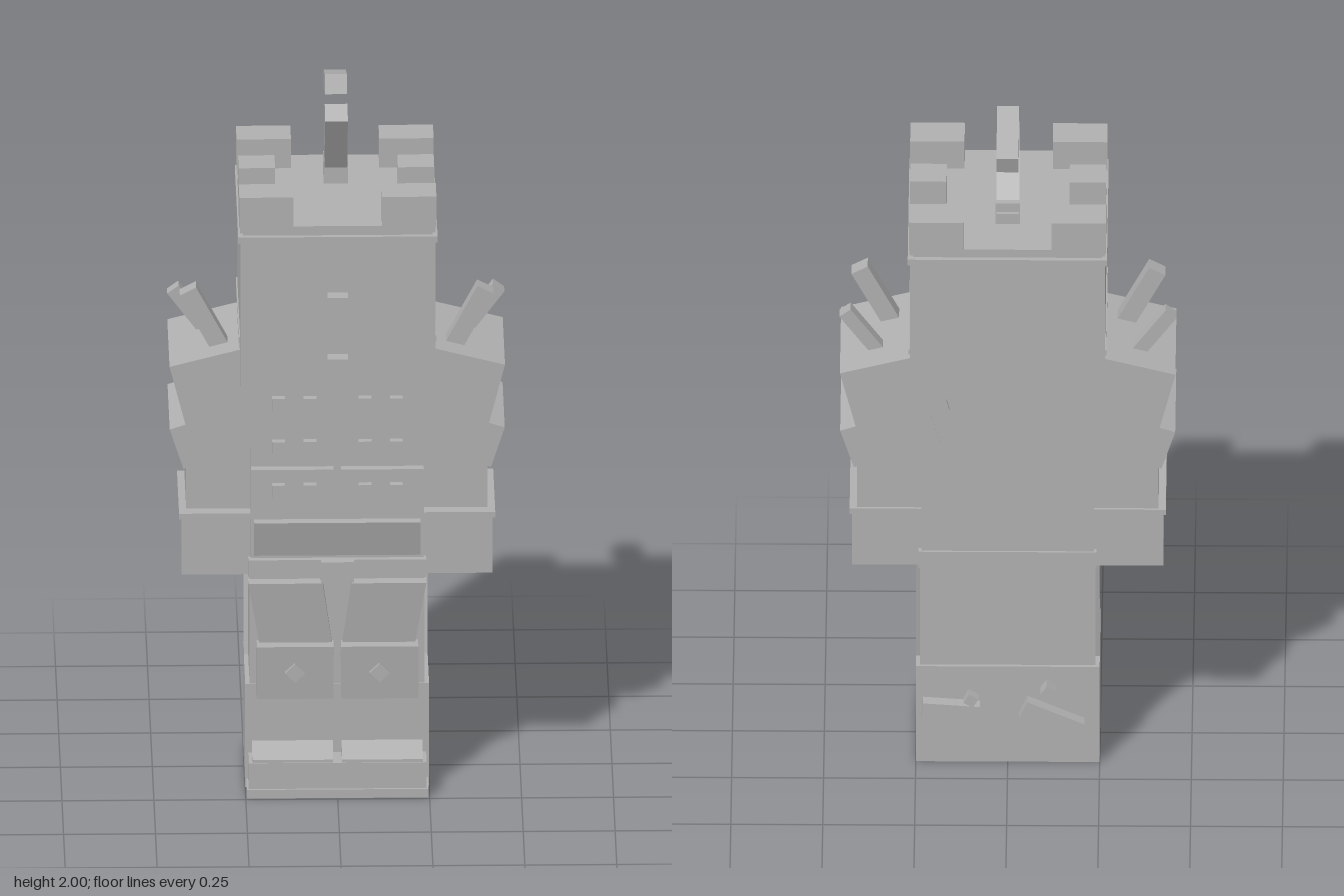
import * as THREE from 'three';

const stone = new THREE.MeshStandardMaterial({ color: 0xb0b0b0 });
stone.name = 'stone grey';

export function createModel() {
  const root = new THREE.Group();
  root.name = 'blockKnight';

  const add = (name, geo) => {
    const mesh = new THREE.Mesh(geo, stone);
    mesh.name = name;
    root.add(mesh);
    return mesh;
  };
  // box given by its limits on each axis
  const span = (name, x0, x1, y0, y1, z0, z1) => {
    const mesh = add(name, new THREE.BoxGeometry(Math.abs(x1 - x0), y1 - y0, z1 - z0));
    mesh.position.set((x0 + x1) / 2, (y0 + y1) / 2, (z0 + z1) / 2);
    return mesh;
  };
  // box given by centre, size and tilt
  const tilted = (name, c, size, rx = 0, ry = 0, rz = 0) => {
    const mesh = add(name, new THREE.BoxGeometry(...size));
    mesh.position.set(...c);
    mesh.rotation.set(rx, ry, rz);
    return mesh;
  };
  // block whose corners follow a rule: corner(i, j, k) with i, j, k of 0 or 1
  const shaped = (name, corner) => {
    const geo = new THREE.BoxGeometry(1, 1, 1);
    const p = geo.attributes.position;
    for (let n = 0; n < p.count; n++)
      p.setXYZ(n, ...corner(p.getX(n) > 0 ? 1 : 0, p.getY(n) > 0 ? 1 : 0, p.getZ(n) > 0 ? 1 : 0));
    geo.computeVertexNormals();
    return add(name, geo);
  };
  const rect = (path, x0, y0, x1, y1) =>
    path.moveTo(x0, y0).lineTo(x1, y0).lineTo(x1, y1).lineTo(x0, y1).closePath();

  // helmet with two recessed slits
  span('helmet', -0.265, 0.265, 1.205, 1.64, -0.265, 0.225);
  const face = new THREE.Shape();
  rect(face, -0.265, 1.205, 0.265, 1.64);
  for (const [y0, y1] of [[1.29, 1.43], [1.47, 1.56]]) {
    const slit = new THREE.Path();
    rect(slit, -0.028, y0, 0.028, y1);
    face.holes.push(slit);
  }
  add('helmetFace', new THREE.ExtrudeGeometry(face, { depth: 0.04, bevelEnabled: false })).position.z = 0.225;
  span('helmetSideBand', -0.269, 0.269, 1.323, 1.34, -0.225, 0.22);
  span('crownBand', -0.271, 0.271, 1.632, 1.65, -0.271, 0.271);
  span('crownNeck', -0.257, 0.257, 1.65, 1.665, -0.257, 0.257);
  span('crownTop', -0.266, 0.266, 1.66, 1.68, -0.266, 0.266);

  // battlements
  for (const s of [-1, 1]) {
    for (const t of [-1, 1])
      span('cornerMerlon', s * 0.12, s * 0.268, 1.675, 1.765, t < 0 ? -0.268 : 0.167, t < 0 ? -0.167 : 0.268);
    span('sideMerlon', s * 0.167, s * 0.266, 1.675, 1.765, -0.048, 0.048);
  }

  // plume: foot, leaning bar and a floating bar
  span('plumeFoot', -0.033, 0.033, 1.675, 1.745, -0.128, -0.05);
  tilted('plumeBar', [0, 1.807, -0.04], [0.062, 0.25, 0.062], 0.52);
  tilted('plumeTip', [0, 1.947, -0.127], [0.06, 0.055, 0.192], -0.31);

  // torso
  span('torso', -0.235, 0.235, 0.64, 1.21, -0.17, 0.165);
  shaped('waistPlate', (i, j, k) => [i ? 0.226 : -0.226, j ? 0.785 : 0.68, k ? (j ? 0.195 : 0.168) : 0.1]);
  span('belt', -0.242, 0.242, 0.62, 0.672, -0.176, 0.182);
  span('beltBuckle', -0.045, 0.045, 0.612, 0.672, 0.1, 0.2);

  for (const s of [-1, 1]) {
    // chest panels with studs
    span('upperChestPanel', s * 0.01, s * 0.235, 0.95, 1.205, 0.15, 0.193);
    span('lowerChestPanel', s * 0.01, s * 0.235, 0.8, 0.94, 0.15, 0.193);
    for (const x of [0.075, 0.16])
      for (const y of [0.885, 1.012, 1.138])
        tilted('chestStud', [s * x, y, 0.2], [0.035, 0.035, 0.03]);
    span('backStrap', s * 0.17, s * 0.225, 1.145, 1.21, -0.2, -0.15);

    // layered shoulder plates with two spikes
    tilted('shoulderPlate', [s * 0.307, 1.178, -0.002], [0.26, 0.187, 0.355], 0, 0, -s * 0.251);
    tilted('lowerShoulderPlate', [s * 0.318, 1.031, -0.002], [0.25, 0.121, 0.338], 0, 0, -s * 0.314);
    tilted('frontSpike', [s * 0.36, 1.342, 0.075], [0.05, 0.19, 0.048], 0, 0, -s * 0.49);
    tilted('backSpike', [s * 0.388, 1.299, -0.07], [0.038, 0.185, 0.038], 0, 0, -s * 0.64);

    // arm and gauntlet
    span('upperArm', s * 0.2, s * 0.41, 0.78, 1.0, -0.155, 0.12);
    span('gauntlet', s * 0.225, s * 0.423, 0.62, 0.795, -0.157, 0.152);
    span('gauntletRim', s * 0.225, s * 0.43, 0.783, 0.8, -0.163, 0.158);

    // thigh plate leaning back towards the knee, its inner edge slanted
    shaped('thighPlate', (i, j, k) => {
      const outer = s > 0 ? i : 1 - i;
      const x = outer ? (j ? 0.242 : 0.205) : (j ? 0.04 : 0.008);
      return [s * x, j ? 0.605 : 0.38, k ? (j ? 0.187 : 0.16) : 0.13];
    });
    // knee plate with a diamond stud
    shaped('kneePlate', (i, j, k) => [
      s * ((s > 0 ? i : 1 - i) ? 0.22 : 0.01), j ? 0.425 : 0.268, k ? (j ? 0.2 : 0.185) : 0.13]);
    tilted('kneeStud', [s * 0.115, 0.35, 0.19], [0.039, 0.039, 0.03], 0, 0, Math.PI / 4);
    // slanted strap on the outside of the thigh
    shaped('thighStrap', (i, j, k) => [
      s * ((s > 0 ? i : 1 - i) ? 0.25 : 0.22), j ? 0.625 : 0.3,
      (j ? -0.127 : -0.07) - (k ? 0 : (j ? 0.022 : 0.03))]);
    // wedge over the toes
    shaped('toeWedge', (i, j, k) => [
      s * ((s > 0 ? i : 1 - i) ? 0.232 : 0.012), j ? (k ? 0.108 : 0.137) : 0.09, k ? 0.232 : 0.15]);
  }

  // legs and feet
  span('legs', -0.238, 0.238, 0.29, 0.64, -0.148, 0.15);
  span('shins', -0.25, 0.25, 0, 0.3, -0.158, 0.155);
  span('toes', -0.242, 0.242, 0, 0.1, 0.14, 0.235);
  span('sole', -0.247, 0.247, 0, 0.025, 0.14, 0.242);

  // loose spurs on the heels
  tilted('leftSpur', [0.155, 0.172, -0.178], [0.155, 0.055, 0.036], 0, 0, 0.07);
  tilted('leftSpurPeg', [0.1, 0.215, -0.185], [0.03, 0.03, 0.03], 0, 0, 0.5);
  tilted('rightSpur', [-0.12, 0.15, -0.178], [0.17, 0.055, 0.036], 0, 0, 0.42);
  tilted('rightSpurPeg', [-0.11, 0.24, -0.178], [0.03, 0.03, 0.04], 0, 0, 0.6);

  return root;
}
